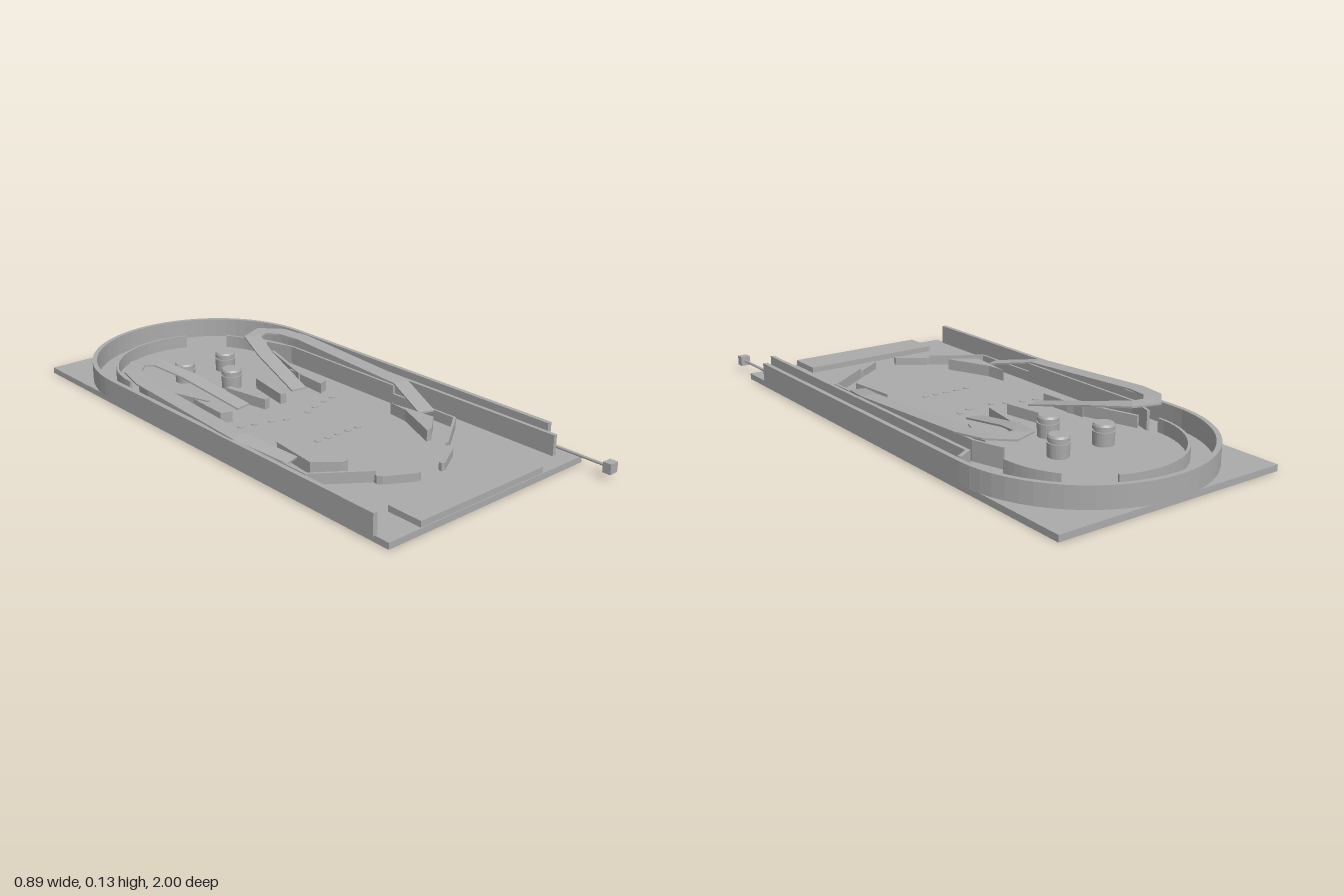
import * as THREE from 'three';

const CENTRE = -0.037; // mirror line of the playfield, left of the launch lane
const FLOOR = 0.022;

export function createModel() {
  const model = new THREE.Group();
  model.name = 'pinballTable';
  const grey = new THREE.MeshStandardMaterial({ color: 0xaaaaaa });
  grey.name = 'plainGrey';

  const add = (name, geometry, x = 0, y = 0, z = 0) => {
    const mesh = new THREE.Mesh(geometry, grey);
    mesh.name = name;
    mesh.position.set(x, y, z);
    model.add(mesh);
    return mesh;
  };
  const box = (name, x0, x1, y0, y1, z0, z1) =>
    add(name, new THREE.BoxGeometry(x1 - x0, y1 - y0, z1 - z0), (x0 + x1) / 2, (y0 + y1) / 2, (z0 + z1) / 2);

  // Upright prism from a plan outline of [x, z] points
  const prism = (name, outline, y0, y1) => {
    const shape = new THREE.Shape(outline.map(([x, z]) => new THREE.Vector2(x, -z)));
    const g = new THREE.ExtrudeGeometry(shape, { depth: y1 - y0, bevelEnabled: false });
    g.rotateX(-Math.PI / 2);
    return add(name, g, 0, y0, 0);
  };

  // Mitred sideways vector at each point of a plan path
  const sideways = (path) => path.map((p, i) => {
    const dir = (a, b) => new THREE.Vector2(b[0] - a[0], b[1] - a[1]).normalize();
    const before = i > 0 ? dir(path[i - 1], p) : dir(p, path[i + 1]);
    const after = i < path.length - 1 ? dir(p, path[i + 1]) : before;
    const mid = before.clone().add(after).normalize();
    const k = 1 / Math.max(0.5, mid.dot(after));
    return [-mid.y * k, mid.x * k];
  });

  // Thin upright wall following a plan path
  const wall = (name, path, thick, y0, y1) => {
    const s = sideways(path);
    const edge = (k) => path.map((p, i) => [p[0] + s[i][0] * k, p[1] + s[i][1] * k]);
    return prism(name, [...edge(thick / 2), ...edge(-thick / 2).reverse()], y0, y1);
  };

  // Sloping slab through [x, z, topY] points
  const ramp = (name, path, width, thick) => {
    const s = sideways(path);
    const rings = path.map(([x, z, y], i) => {
      const [sx, sz] = s[i].map((v) => v * width / 2);
      return [[x - sx, y, z - sz], [x + sx, y, z + sz], [x + sx, y - thick, z + sz], [x - sx, y - thick, z - sz]];
    });
    const pos = [];
    const quad = (a, b, c, d) => pos.push(...a, ...b, ...c, ...a, ...c, ...d);
    for (let i = 0; i < rings.length - 1; i++) {
      const r = rings[i], n = rings[i + 1];
      for (let j = 0; j < 4; j++) quad(r[j], r[(j + 1) % 4], n[(j + 1) % 4], n[j]);
    }
    const [a, b, c, d] = rings[0];
    quad(a, d, c, b);
    quad(...rings[rings.length - 1]);
    const g = new THREE.BufferGeometry();
    g.setAttribute('position', new THREE.Float32BufferAttribute(pos, 3));
    g.computeVertexNormals();
    return add(name, g);
  };

  // Points along an elliptical arc, angles in degrees from +x towards the back
  const arc = (cx, cz, rx, rz, from, to, n) => Array.from({ length: n + 1 }, (_, i) => {
    const t = THREE.MathUtils.degToRad(from + (to - from) * i / n);
    return [cx + rx * Math.cos(t), cz - rz * Math.sin(t)];
  });

  // Base board and front apron
  box('baseBoard', -0.437, 0.437, 0, FLOOR, -0.99, 0.855);
  box('frontApron', -0.307, 0.238, FLOOR, 0.043, 0.72, 0.852);

  // Outer wall with rounded back, and launch lane divider
  wall('outerWall', [[0.437, 0.72], ...arc(0, -0.555, 0.437, 0.437, 0, 180, 32), [-0.437, 0.8]], 0.017, FLOOR, 0.095);
  wall('laneDivider', [[0.37, 0.795], [0.37, -0.49], [0.42, -0.52]], 0.014, FLOOR, 0.095);

  // Curved ball guides at the back
  wall('backLeftGuide', arc(-0.035, -0.56, 0.322, 0.32, 180, 66, 22), 0.01, FLOOR, 0.07);
  wall('backRightGuide', arc(-0.035, -0.56, 0.32, 0.32, 36, 0, 8), 0.01, FLOOR, 0.07);

  // Mirrored playfield parts
  for (const [side, m] of [['right', -1], ['left', 1]]) {
    const at = (pts) => pts.map(([u, z, y]) => [CENTRE + m * u, z, y]);
    ramp(side + 'Ramp', at([
      [0.128, -0.14, 0.05], [0.18, -0.4, 0.106], [0.225, -0.53, 0.13], [0.29, -0.555, 0.133],
      [0.345, -0.5, 0.132], [0.368, -0.4, 0.127], [0.368, 0.14, 0.098], [0.303, 0.33, 0.06],
    ]), 0.06, 0.006);
    wall(side + 'SideGuide', at([[0.3, -0.53], [0.335, -0.42], [0.335, 0.14]]), 0.01, FLOOR, 0.092);
    wall(side + 'OutlaneGuide', at([[0.335, 0.14], [0.335, 0.43], [0.16, 0.555]]), 0.009, FLOOR, 0.06);
    wall(side + 'RampOuterGuide', at([[0.293, -0.49], [0.21, -0.23]]), 0.012, FLOOR, 0.065);
    prism(side + 'RampOuterPost', at([[0.215, -0.3], [0.235, -0.29], [0.243, -0.12], [0.203, -0.105]]), FLOOR, 0.06);
    wall(side + 'RampInnerGuide', at([[0.07, -0.3], [0.037, -0.12]]), 0.024, FLOOR, 0.06);
    prism(side + 'Slingshot', at([[0.258, 0.2], [0.25, 0.28], [0.178, 0.45], [0.2, 0.45], [0.278, 0.385]]), FLOOR, 0.064);
    prism(side + 'Flipper', at([
      [0.165, 0.552], [0.145, 0.556], [0.047, 0.625], [0.046, 0.638], [0.06, 0.64], [0.158, 0.585], [0.17, 0.57],
    ]), FLOOR, 0.05);
  }

  // Pop bumpers: body, groove and cap
  const bumperProfile = [
    [0, FLOOR], [0.036, FLOOR], [0.038, 0.07], [0.033, 0.07], [0.033, 0.076],
    [0.037, 0.076], [0.037, 0.088], [0.033, 0.095], [0, 0.095],
  ].map(([r, y]) => new THREE.Vector2(r, y));
  for (const [x, z] of [[-0.13, -0.54], [0.058, -0.54], [CENTRE, -0.375]]) {
    const g = new THREE.LatheGeometry(bumperProfile, 28).toNonIndexed();
    g.computeVertexNormals();
    add('bumper', g, x, 0, z);
  }

  // Low playfield inserts
  const inserts = [-0.09, -0.045, 0, 0.045, 0.09].map((u) => [u, 0.21]);
  for (const m of [-1, 1]) inserts.push([m * 0.21, -0.05], [m * 0.16, -0.04], [m * 0.1, -0.02], [m * 0.05, 0.0]);
  for (const [u, z] of inserts) {
    add('insert', new THREE.CylinderGeometry(0.012, 0.012, 0.003, 16), CENTRE + u, FLOOR + 0.0015, z);
  }

  // Plunger with rod, head, knob and the ball waiting in the lane
  const rod = add('plungerRod', new THREE.CylinderGeometry(0.005, 0.005, 0.3, 12), 0.402, 0.04, 0.835);
  rod.rotation.x = Math.PI / 2;
  box('plungerHead', 0.384, 0.42, FLOOR, 0.058, 0.678, 0.686);
  box('plungerKnob', 0.384, 0.42, 0.022, 0.058, 0.97, 1.0);
  add('ball', new THREE.SphereGeometry(0.022, 20, 14), 0.402, FLOOR + 0.022, 0.662);

  return model;
}
